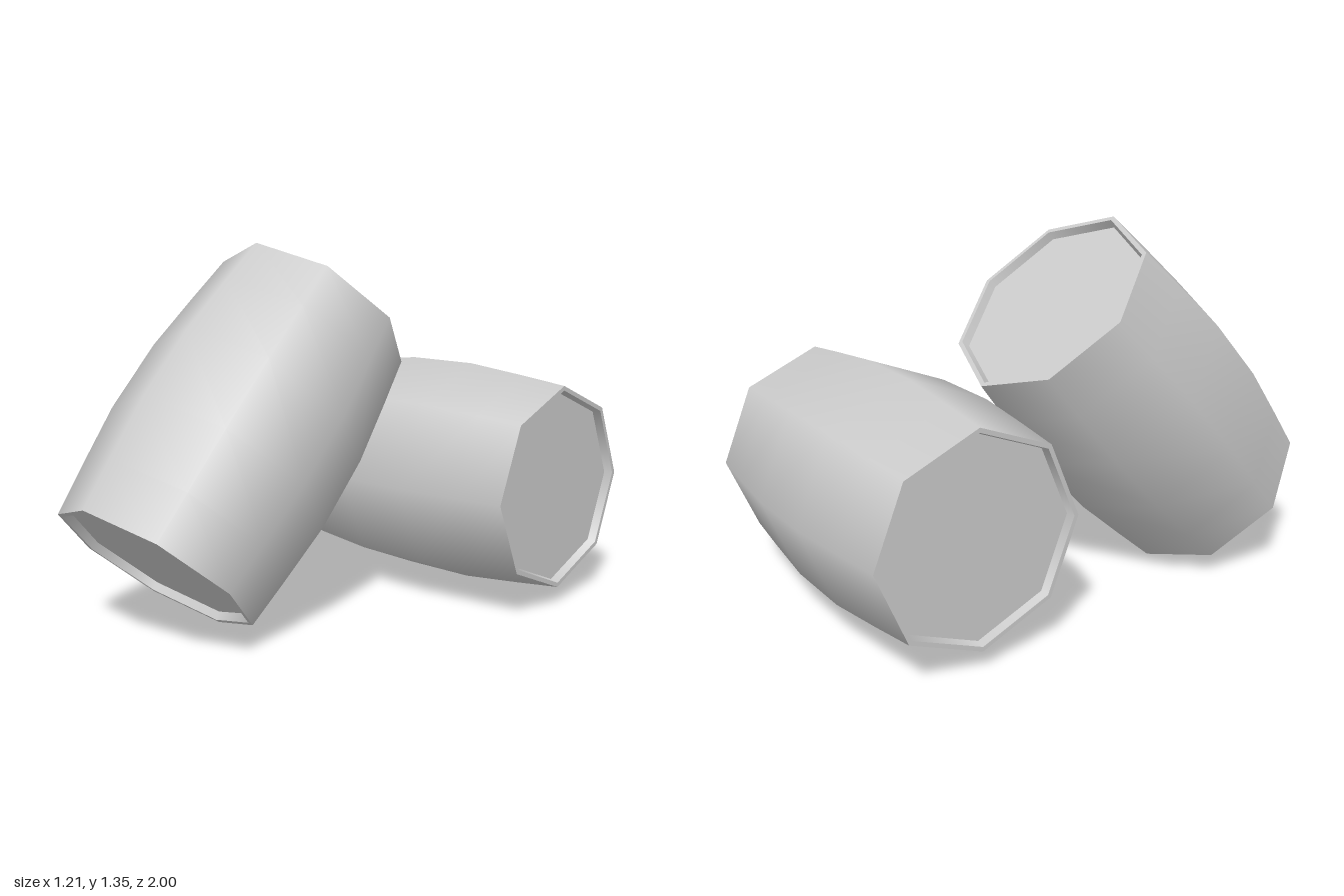
import * as THREE from 'three';

const HALF = 0.567; // half the barrel length

function lathe(name, points, material) {
  const profile = points.map(([r, y]) => new THREE.Vector2(r, y));
  const mesh = new THREE.Mesh(new THREE.LatheGeometry(profile, 8), material);
  mesh.name = name;
  return mesh;
}

// Eight-sided bulging barrel, standing along y and centred on its middle
function makeBarrel(name, material) {
  const barrel = new THREE.Group();
  barrel.name = name;

  // Staves: smooth bulging wall
  barrel.add(lathe('staves', [
    [0.383, -HALF], [0.405, -0.38], [0.43, -0.142],
    [0.43, 0.142], [0.405, 0.38], [0.383, HALF],
  ], material));

  // Rim, recess wall and sunken lid at each end
  for (const [side, turn] of [['top', 0], ['bottom', Math.PI]]) {
    const end = new THREE.Group();
    end.name = side + 'End';
    end.add(
      lathe('rim', [[0.383, HALF], [0.366, HALF]], material),
      lathe('recessWall', [[0.366, HALF], [0.358, HALF - 0.03]], material),
      lathe('lid', [[0.358, HALF - 0.03], [0, HALF - 0.03]], material),
    );
    end.rotation.x = turn;
    barrel.add(end);
  }
  return barrel;
}

export function createModel() {
  const model = new THREE.Group();
  model.name = 'barrels';
  const material = new THREE.MeshStandardMaterial({ color: 0xcccccc });

  // Barrel lying on its side at the back
  const lying = makeBarrel('lyingBarrel', material);
  lying.rotation.z = Math.PI / 2;
  lying.position.set(0.037, 0.456, -0.567);

  // Barrel tipped backwards against it
  const leaning = makeBarrel('leaningBarrel', material);
  leaning.rotation.x = -0.746;
  leaning.position.set(-0.178, 0.681, 0.335);

  model.add(lying, leaning);
  return model;
}
